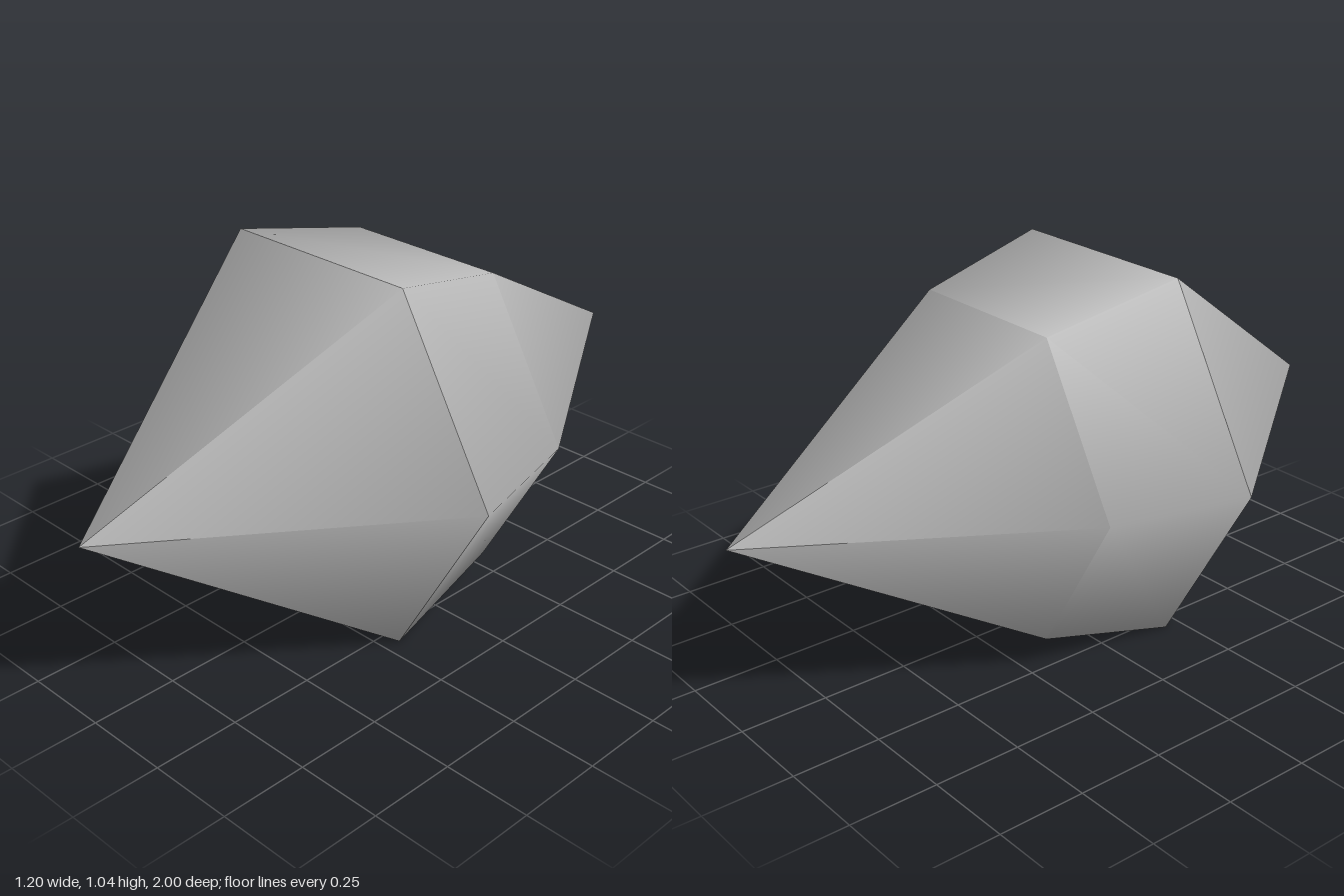
import * as THREE from 'three';

const SIDES = 6;
const AXIS_HEIGHT = 0.6 * Math.sin(Math.PI / 3); // flat side rests on the ground

export function createModel() {
  const group = new THREE.Group();
  group.name = 'crystal';
  const stone = new THREE.MeshStandardMaterial({ color: 0xb4b4b4 });
  stone.name = 'grey stone';

  // Six-sided section along z, with corners pointing to +x and -x
  function section(name, frontRadius, backRadius, frontZ, backZ) {
    const geometry = new THREE.CylinderGeometry(
      frontRadius, backRadius, frontZ - backZ, SIDES, 1, true, Math.PI / 6);
    geometry.rotateX(Math.PI / 2);
    const mesh = new THREE.Mesh(geometry, stone);
    mesh.name = name;
    mesh.position.set(0, AXIS_HEIGHT, (frontZ + backZ) / 2);
    group.add(mesh);
  }

  section('frontPoint', 0, 0.6, 1, 0.2);
  section('taperedBody', 0.6, 0.5, 0.2, -0.2);
  section('backPoint', 0.5, 0, -0.2, -1);

  return group;
}
